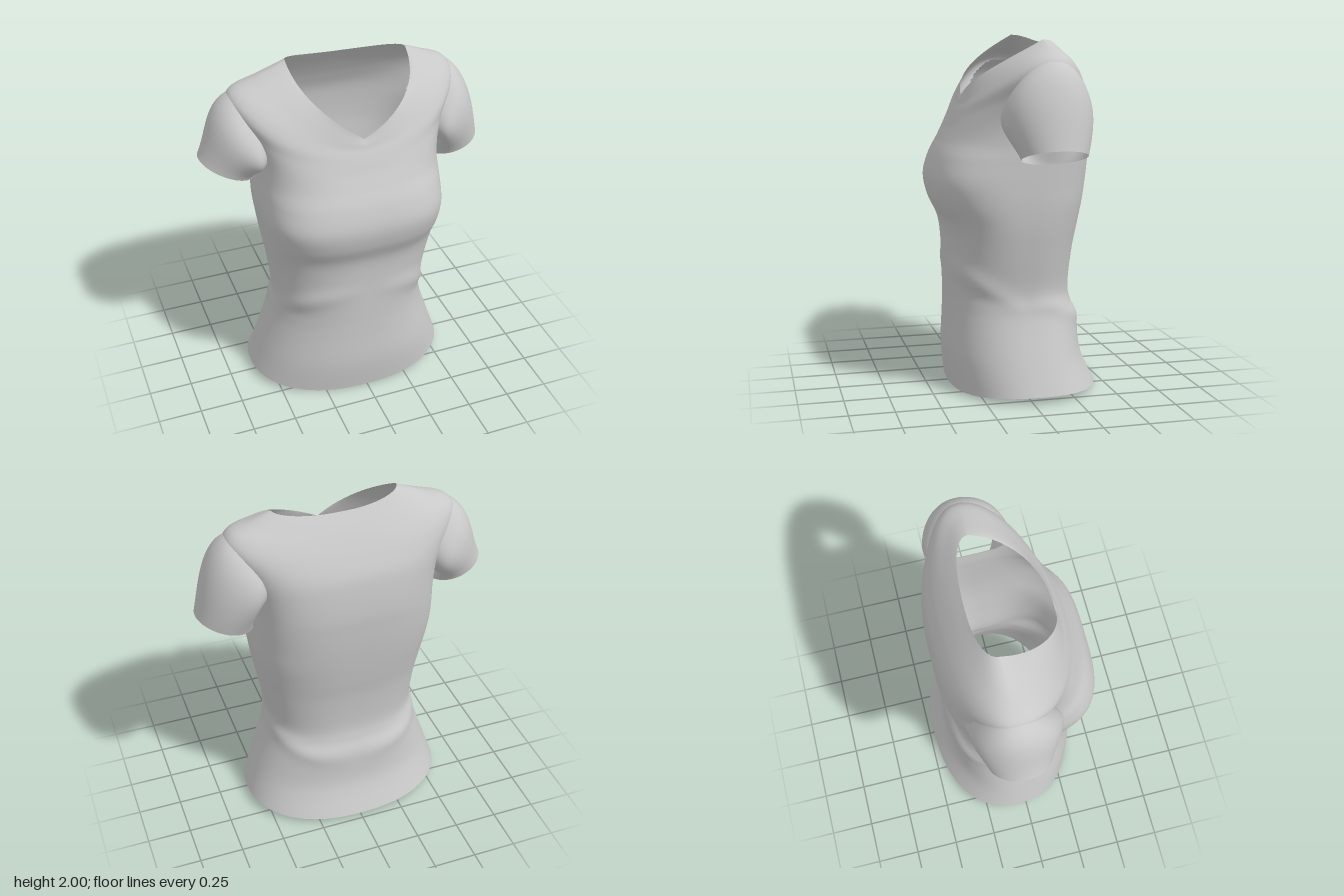
import * as THREE from 'three';

// Torso sections: y, left x, right x, front z, back z, middle z, front and back roundness
const LOWER = [
  [0.2, 0.53, 0.56, 0.39, 0.39, -0.03, 2.3, 2.3],
  [0.4, 0.46, 0.495, 0.385, 0.37, -0.01, 2.3, 2.3],
  [0.5, 0.435, 0.47, 0.383, 0.335, 0, 2.3, 2.3],
  [0.6, 0.425, 0.455, 0.383, 0.32, 0, 2.4, 2.4],
  [0.8, 0.46, 0.475, 0.385, 0.335, 0, 2.5, 2.5],
  [0.95, 0.485, 0.5, 0.4, 0.36, 0, 2.7, 2.6],
  [1.08, 0.497, 0.517, 0.455, 0.38, 0, 3.0, 2.8],
  [1.2, 0.5, 0.53, 0.475, 0.395, 0, 3.2, 2.9],
  [1.32, 0.5, 0.525, 0.447, 0.405, -0.02, 3.0, 3.0],
  [1.42, 0.502, 0.52, 0.397, 0.41, -0.04, 2.8, 3.0],
];
const HEM = [0.045, 0.003, 0.015, 0.585, 0.61, 0.37, 0.47, -0.04, 2.3, 2.3];
// Shoulder sections, ending at the neckline: side, front and back y, then as above
const YOKE = [
  [1.55, 1.49, 1.55, 0.52, 0.53, 0.36, 0.402, -0.06, 2.7, 3.0],
  [1.68, 1.54, 1.65, 0.57, 0.575, 0.338, 0.385, -0.07, 2.3, 2.8],
  [1.81, 1.58, 1.74, 0.635, 0.635, 0.32, 0.345, -0.08, 2.0, 2.5],
  [1.88, 1.61, 1.81, 0.61, 0.61, 0.305, 0.305, -0.09, 1.9, 2.3],
  [1.93, 1.635, 1.885, 0.5, 0.47, 0.295, 0.255, -0.09, 1.9, 2.2],
  [1.985, 1.66, 1.955, 0.38, 0.31, 0.28, 0.2, -0.09, 2.0, 2.3],
];
const SECTIONS = [HEM, ...LOWER.map(([y, ...rest]) => [y, y, y, ...rest]), ...YOKE];
const LAST = SECTIONS.length - 1;

// Armhole, as an ellipse in angle and section number
const ARM = { middle: 11.95, radius: 1.65, front: 0.48, back: 0.62 };

// Smooth interpolation between the sections
function sectionAt(v) {
  const i = Math.min(Math.floor(v), LAST - 1), t = v - i;
  const at = (k) => SECTIONS[Math.max(0, Math.min(LAST, k))];
  const [a, b, c, d] = [at(i - 1), at(i), at(i + 1), at(i + 2)];
  return b.map((q, k) => q + 0.5 * t * (c[k] - a[k]
    + t * (2 * a[k] - 5 * q + 4 * c[k] - d[k] + t * (3 * (q - c[k]) + d[k] - a[k]))));
}

// Point of the torso; angle 0 is the left side, a quarter turn is the front
function torsoPoint(angle, v) {
  const [ySide, yFront, yBack, xL, xR, zF, zB, zM, nF, nB] = sectionAt(v);
  const c = Math.cos(angle), s = Math.sin(angle);
  const n = s >= 0 ? nF : nB;
  const neck = Math.max(0, (v - 14) / 2) ** 2;
  let x = Math.sign(c) * Math.abs(c) ** (2 / n) * (c > 0 ? xL : xR);
  let z = Math.sign(s) * Math.abs(s) ** (2 / n) * (s > 0 ? zF - zM : zB + zM);
  // the neckline drops to a V in front
  const vee = Math.asin(Math.min(1, Math.abs(s))) / (Math.PI / 2);
  const drop = s > 0 ? THREE.MathUtils.lerp(s * s, vee, neck) : s * s;
  const y = ySide + ((s > 0 ? yFront : yBack) - ySide) * drop - 0.015 * c * neck;
  // soft slanting folds round the waist
  const foldY = 0.52 + (s > 0 ? 0.2 * s : -0.12 * s * s);
  const fold = 1 + 0.035 * Math.abs(Math.sin(2 * angle)) * Math.exp(-(((y - foldY) / 0.055) ** 2));
  x *= fold;
  z *= fold;
  return new THREE.Vector3(x, y, zM + z);
}

function inArmhole(angle, v) {
  const c = Math.abs(Math.cos(angle)), s = Math.sin(angle);
  const a = Math.atan2(s, c) / (s > 0 ? ARM.front : ARM.back);
  return a * a + ((v - ARM.middle) / ARM.radius) ** 2 < 1;
}

// Surface closed round its first direction; skip(i, j) leaves out a corner
function closedGrid(nu, nv, point, flip, skip = () => false) {
  const positions = [], index = [];
  for (let j = 0; j <= nv; j++)
    for (let i = 0; i < nu; i++) positions.push(...point(i / nu, j / nv).toArray());
  for (let j = 0; j < nv; j++)
    for (let i = 0; i < nu; i++) {
      const k = (i + 1) % nu;
      if (skip(i, j) && skip(k, j) && skip(i, j + 1) && skip(k, j + 1)) continue;
      const a = j * nu + i, b = j * nu + k, c = a + nu, d = b + nu;
      if (flip) index.push(a, c, b, b, c, d);
      else index.push(a, b, c, b, d, c);
    }
  const geometry = new THREE.BufferGeometry();
  geometry.setAttribute('position', new THREE.Float32BufferAttribute(positions, 3));
  geometry.setIndex(index);
  geometry.computeVertexNormals();
  return geometry;
}

// Sleeve swept from the armhole seam to the cuff
function sleeveGeometry(side, cuff) {
  const point = (u, t) => {
    const phi = u * Math.PI * 2, c = Math.cos(phi), s = Math.sin(phi);
    const a = s * (s > 0 ? ARM.front : ARM.back);
    const start = torsoPoint(side > 0 ? a : Math.PI - a, ARM.middle + c * ARM.radius);
    const end = new THREE.Vector3(
      side * (cuff.x + cuff.dx * c), cuff.y + cuff.dy * c, -0.08 + 0.177 * s);
    const top = (1 + c) / 2;
    const leave = new THREE.Vector3(
      side * (0.12 + 0.26 * top), -0.02 - 0.2 * top, s * (s > 0 ? 0.25 : 0.2));
    const arrive = new THREE.Vector3(side * cuff.flare * top, -0.12 - 0.28 * top, -0.08 * s);
    const t2 = t * t, t3 = t2 * t;
    return start.multiplyScalar(2 * t3 - 3 * t2 + 1)
      .addScaledVector(leave, t3 - 2 * t2 + t)
      .addScaledVector(end, 3 * t2 - 2 * t3)
      .addScaledVector(arrive, t3 - t2);
  };
  return closedGrid(72, 28, point, side < 0);
}

export function createModel() {
  const model = new THREE.Group();
  model.name = 'shirt';
  const cloth = new THREE.MeshStandardMaterial({ color: 0xc8c8c8, side: THREE.DoubleSide });
  cloth.name = 'grey cloth';
  const add = (name, geometry) => {
    const mesh = new THREE.Mesh(geometry, cloth);
    mesh.name = name;
    model.add(mesh);
  };

  // Torso with open hem, neck and armholes
  const nu = 144, nv = LAST * 8;
  add('torso', closedGrid(nu, nv,
    (u, v) => torsoPoint(u * Math.PI * 2, v * LAST), true,
    (i, j) => inArmhole((i / nu) * Math.PI * 2, (j / nv) * LAST)));

  // Short sleeves, the right one raised a little
  add('leftSleeve', sleeveGeometry(1, { x: 0.665, y: 1.36, dx: 0.155, dy: 0.05, flare: 0.1 }));
  add('rightSleeve', sleeveGeometry(-1, { x: 0.67, y: 1.445, dx: 0.15, dy: 0.065, flare: 0.2 }));
  return model;
}
